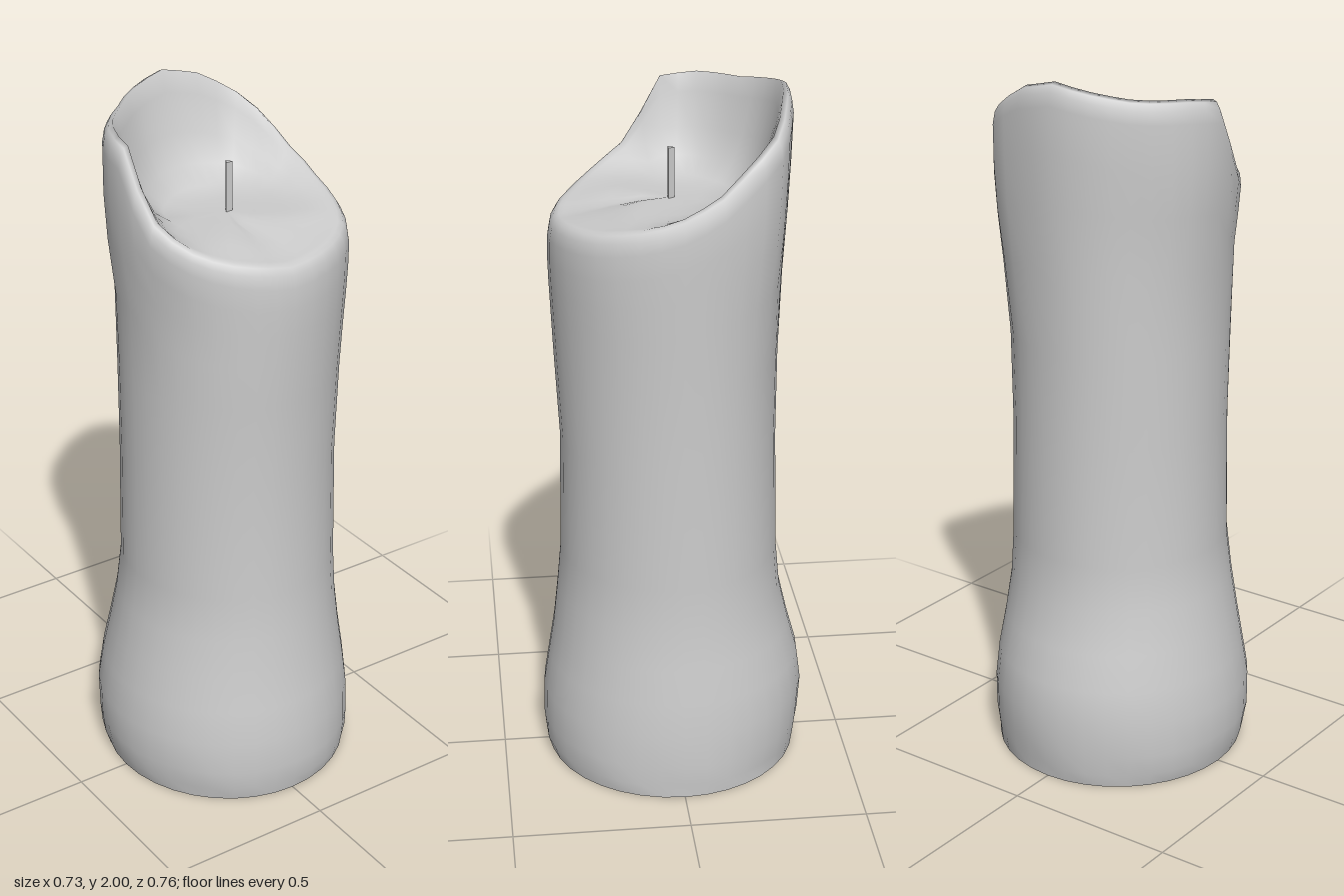
import * as THREE from 'three';

const SIDES = 36;

// Linear interpolation through [key, value, ...] rows
function sample(rows, key, col = 1) {
  for (let i = 1; i < rows.length; i++) {
    if (key <= rows[i][0]) {
      const a = rows[i - 1], b = rows[i];
      return THREE.MathUtils.lerp(a[col], b[col], (key - a[0]) / (b[0] - a[0]));
    }
  }
  return rows[rows.length - 1][col];
}

// Height, then reach towards -x, +x, -z, +z
const BODY = [
  [0.00, 0.345, 0.360, 0.360, 0.365],
  [0.04, 0.358, 0.364, 0.366, 0.374],
  [0.10, 0.366, 0.366, 0.374, 0.380],
  [0.20, 0.367, 0.362, 0.381, 0.378],
  [0.30, 0.350, 0.352, 0.368, 0.362],
  [0.40, 0.332, 0.338, 0.340, 0.346],
  [0.52, 0.310, 0.324, 0.312, 0.333],
  [0.65, 0.293, 0.320, 0.300, 0.321],
  [1.00, 0.290, 0.316, 0.292, 0.315],
  [1.25, 0.291, 0.320, 0.293, 0.328],
  [1.50, 0.296, 0.326, 0.300, 0.339],
  [1.70, 0.324, 0.331, 0.312, 0.340],
  [2.00, 0.325, 0.331, 0.325, 0.340],
];

// Rim height by angle in degrees, from the front (+z) round towards +x
const RIM = [
  [0, 1.65], [45, 1.67], [75, 1.70], [92, 1.73], [110, 1.78], [130, 1.87], [145, 1.93],
  [160, 1.975], [180, 2.0], [200, 1.98], [222, 1.96], [250, 1.955], [270, 1.94],
  [280, 1.84], [290, 1.76], [305, 1.71], [325, 1.675], [360, 1.65],
];

// Bulges of the upper outline by angle
const BULGE = [
  [0, 1], [50, 1.03], [90, 1], [115, 1.02], [138, 1.1], [160, 1.02], [180, 1],
  [220, 0.95], [250, 1], [270, 1], [300, 1], [328, 0.98], [360, 1],
];

// Point on the wax at an angle and height, drawn in by scale
function waxPoint(deg, y, scale) {
  const a = THREE.MathUtils.degToRad(deg), s = Math.sin(a), c = Math.cos(a);
  const top = THREE.MathUtils.smoothstep(y, 1.2, 1.7);
  const k = scale * THREE.MathUtils.lerp(1, sample(BULGE, deg), top);
  return [
    s * k * sample(BODY, y, s < 0 ? 1 : 2), y,
    c * k * sample(BODY, y, c < 0 ? 3 : 4),
  ];
}

function waxGeometry() {
  const rings = [];
  const addRing = (fn) => rings.push(Array.from({ length: SIDES }, (_, j) => fn(j * 360 / SIDES)));

  // Outer wall, with slight drip ripples at the foot
  for (const [y] of BODY.filter((row) => row[0] <= 1.25)) {
    addRing((d) => {
      const a = THREE.MathUtils.degToRad(d);
      const ripple = y === 0.04 ? 0.012 * Math.sin(5 * a) * Math.sin(3 * a + 1) : 0;
      return waxPoint(d, y, 1 + ripple);
    });
  }
  // Upper wall stretched up to the slanting rim
  for (const t of [0.35, 0.6, 0.8]) {
    addRing((d) => waxPoint(d, THREE.MathUtils.lerp(1.25, sample(RIM, d) - 0.05, t), 1));
  }
  // Rounded lip: drop below the rim, scale
  for (const [drop, scale] of [[0.06, 0.995], [0.025, 0.975], [0.006, 0.94], [0, 0.9]]) {
    addRing((d) => waxPoint(d, sample(RIM, d) - drop, scale));
  }
  // Hollow: share of the rim height left above the pool, scale
  for (const [share, scale] of [[0.8, 0.86], [0.45, 0.77], [0.18, 0.66], [0.03, 0.5], [0, 0.25]]) {
    addRing((d) => {
      const rim = sample(RIM, d);
      const pool = Math.min(rim + 0.04 * (1 - scale), 1.69);
      const p = waxPoint(d, rim, scale);
      p[1] = THREE.MathUtils.lerp(pool, rim, share);
      return p;
    });
  }

  const positions = rings.flat(2), index = [];
  for (let i = 0; i < rings.length - 1; i++) {
    for (let j = 0; j < SIDES; j++) {
      const k = (j + 1) % SIDES;
      const a = i * SIDES + j, b = i * SIDES + k, c = a + SIDES, d = b + SIDES;
      index.push(a, b, c, b, d, c);
    }
  }
  // Close the pool
  const centre = rings.length * SIDES;
  positions.push(0.01, 1.69, 0);
  for (let j = 0; j < SIDES; j++) {
    index.push(centre - SIDES + j, centre - SIDES + (j + 1) % SIDES, centre);
  }
  const geometry = new THREE.BufferGeometry();
  geometry.setAttribute('position', new THREE.Float32BufferAttribute(positions, 3));
  geometry.setIndex(index);
  geometry.computeVertexNormals();
  return geometry;
}

function baseGeometry() {
  // Flat underside following the foot outline
  const outline = Array.from({ length: SIDES }, (_, j) => {
    const [x, , z] = waxPoint(j * 360 / SIDES, 0, 1);
    return new THREE.Vector2(x, z);
  });
  return new THREE.ShapeGeometry(new THREE.Shape(outline)).rotateX(Math.PI / 2);
}

export function createModel() {
  const group = new THREE.Group();
  group.name = 'candle';
  const material = new THREE.MeshStandardMaterial({ color: 0xcccccc });
  const add = (name, geometry, mat = material) => {
    const mesh = new THREE.Mesh(geometry, mat);
    mesh.name = name;
    group.add(mesh);
    return mesh;
  };

  add('waxBody', waxGeometry());
  add('baseCap', baseGeometry());

  // Thin three-sided wick
  const flat = new THREE.MeshStandardMaterial({ color: 0xcccccc, flatShading: true });
  const wick = add('wick', new THREE.CylinderGeometry(0.012, 0.012, 0.16, 3), flat);
  wick.position.set(0.014, 1.75, 0.005);
  wick.rotation.y = Math.PI;

  return group;
}
